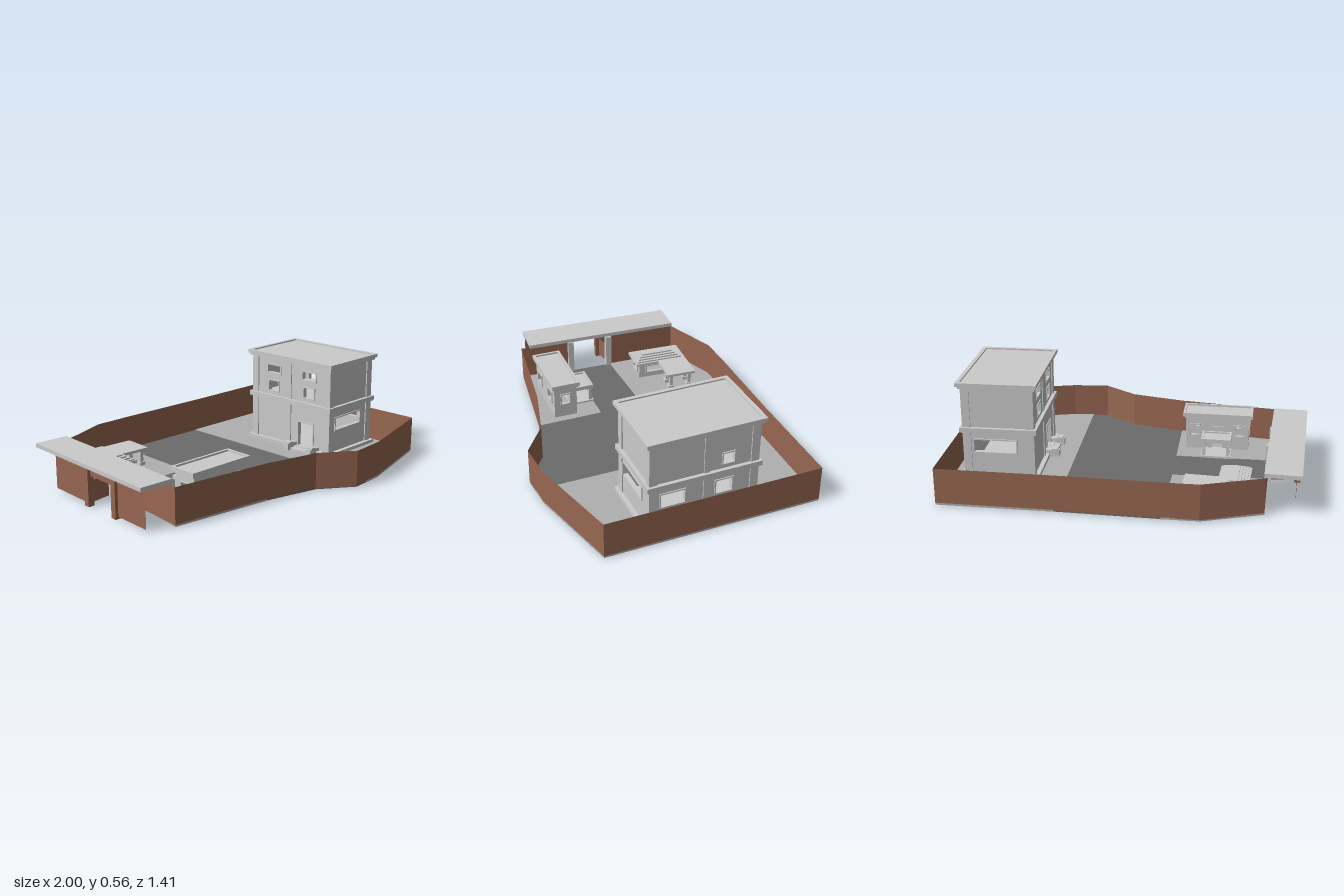
import * as THREE from 'three';

const mat = (color) => new THREE.MeshStandardMaterial({ color, flatShading: true, side: THREE.DoubleSide });
const GREY = mat(0xcccccc), PAD = mat(0xb0b0b0), ROAD = mat(0x6b6b6b), BRICK = mat(0x986752);

function add(parent, name, geometry, material = GREY) {
  const mesh = new THREE.Mesh(geometry, material);
  mesh.name = name;
  parent.add(mesh);
  return mesh;
}

// Box centred on (x, z), from height y0 to y1
function block(parent, name, x, z, w, d, y0, y1, material) {
  const m = add(parent, name, new THREE.BoxGeometry(w, y1 - y0, d), material);
  m.position.set(x, (y0 + y1) / 2, z);
  return m;
}

// Flat slab from an outline of [x, z] points
function slab(parent, name, pts, y0, y1, material, holes = []) {
  const toPts = (list) => list.map(([x, z]) => new THREE.Vector2(x, -z));
  const shape = new THREE.Shape(toPts(pts));
  for (const h of holes) shape.holes.push(new THREE.Path(toPts(h)));
  const g = new THREE.ExtrudeGeometry(shape, { depth: y1 - y0, bevelEnabled: false });
  g.rotateX(-Math.PI / 2).translate(0, y0, 0);
  return add(parent, name, g, material);
}

const rect = (w, d) => [[-w / 2, -d / 2], [w / 2, -d / 2], [w / 2, d / 2], [-w / 2, d / 2]];

// Raised rim around a flat roof
function rim(parent, name, w, d, t, y0, y1) {
  return slab(parent, name, rect(w, d), y0, y1, GREY, [rect(w - 2 * t, d - 2 * t)]);
}

// Thin upright sheet between two ground points
function sheet(parent, name, [x0, z0], [x1, z1], y0 = 0.012, y1 = 0.21) {
  const m = add(parent, name, new THREE.PlaneGeometry(Math.hypot(x1 - x0, z1 - z0), y1 - y0), BRICK);
  m.position.set((x0 + x1) / 2, (y0 + y1) / 2, (z0 + z1) / 2);
  m.rotation.y = -Math.atan2(z1 - z0, x1 - x0);
}

// House wall with openings [u, width, bottom, top], set out from the centre by dist
function facade(parent, name, width, y0, y1, openings, angle, dist, t = 0.02) {
  const box = (u, w, b, c) => [[u - w / 2, b], [u + w / 2, b], [u + w / 2, c], [u - w / 2, c]].map((p) => new THREE.Vector2(...p));
  const shape = new THREE.Shape(box(0, width, y0, y1));
  const side = new THREE.Group();
  side.name = name;
  for (const [u, w, b, c] of openings) {
    shape.holes.push(new THREE.Path(box(u, w, b, c)));
    // raised surround
    const frame = new THREE.Shape(box(u, w + 0.014, b - 0.007, c + 0.007));
    frame.holes.push(new THREE.Path(box(u, w, b, c)));
    const fg = new THREE.ExtrudeGeometry(frame, { depth: 0.006, bevelEnabled: false });
    add(side, 'openingFrame', fg.translate(0, 0, dist));
  }
  const g = new THREE.ExtrudeGeometry(shape, { depth: t, bevelEnabled: false });
  add(side, 'wall', g.translate(0, 0, dist - t));
  side.rotation.y = angle;
  parent.add(side);
}

function group(parent, name, x, z, angle) {
  const g = new THREE.Group();
  g.name = name;
  g.position.set(x, 0, z);
  g.rotation.y = angle;
  parent.add(g);
  return g;
}

function buildGround(root) {
  slab(root, 'road', [[-0.17, -0.695], [0.38, -0.64], [0.285, 0.7], [0.195, 0.7], [0.02, 0.555], [-0.275, 0.46],
    [-0.245, 0.08], [-0.775, 0.04], [-0.745, -0.21], [-0.225, -0.18]], 0.006, 0.013, ROAD);
  slab(root, 'eastPad', [[0.38, -0.64], [1, -0.59], [0.92, 0.6], [0.4, 0.7], [0.285, 0.7]], 0.005, 0.016, PAD);
  slab(root, 'northWestPad', [[-0.7, -0.62], [-0.37, -0.71], [-0.17, -0.695], [-0.225, -0.18], [-0.745, -0.21]], 0.005, 0.016, PAD);
  slab(root, 'southWestPad', [[-0.245, 0.08], [-0.275, 0.46], [-0.84, 0.34], [-0.775, 0.04]], 0.005, 0.016, PAD);
}

function buildPerimeter(root) {
  const line = [[-0.745, -0.21], [-0.7, -0.62], [-0.37, -0.71], [-0.17, -0.695], [0.38, -0.64], [1, -0.59], [0.92, 0.6],
    [0.4, 0.7], [0.195, 0.7], [0.02, 0.555], [-0.275, 0.46], [-0.84, 0.34], [-0.785, 0.04]];
  for (let i = 0; i + 1 < line.length; i++) sheet(root, 'perimeterWall', line[i], line[i + 1]);
}

function buildGate(root) {
  const gate = group(root, 'gatehouse', 0, 0, 0);
  slab(gate, 'gateRoof', [[-0.88, -0.645], [-0.69, -0.62], [-0.81, 0.295], [-1, 0.27]], 0.213, 0.235);
  sheet(gate, 'outerWall', [-0.97, 0.27], [-0.94, 0.04]);
  sheet(gate, 'outerWall', [-0.908, -0.2], [-0.868, -0.5]);
  sheet(gate, 'outerLintel', [-0.94, 0.04], [-0.908, -0.2], 0.165);
  sheet(gate, 'passageWall', [-0.908, -0.2], [-0.745, -0.21], 0.012, 0.13);
  for (const [x, z] of [[-0.938, 0.03], [-0.908, -0.2]])
    block(gate, 'outerPillar', x, z, 0.035, 0.035, 0, 0.213, BRICK).rotation.y = -0.13;
  for (const [x, z] of [[-0.785, 0.04], [-0.748, -0.2]])
    block(gate, 'innerPillar', x, z, 0.035, 0.035, 0.006, 0.213).rotation.y = -0.13;
}

function buildHouse(root) {
  const h = group(root, 'mainHouse', 0.696, 0.026, -0.06);
  const W = 0.38, D = 0.585, top = 0.53, q = Math.PI / 2;
  block(h, 'plinth', 0, 0, W + 0.05, D + 0.05, 0.012, 0.035);
  const band = [[-0.02, 0.23, 0.165, 0.235]];
  facade(h, 'southWall', W, 0.013, top, band, 0, D / 2);
  facade(h, 'northWall', W, 0.013, top, band, 2 * q, D / 2);
  facade(h, 'eastWall', D, 0.013, top, [[-0.17, 0.13, 0.165, 0.24], [0.11, 0.09, 0.165, 0.24], [0.13, 0.062, 0.335, 0.395]], q, W / 2);
  facade(h, 'westWall', D, 0.013, top, [[-0.13, 0.075, 0.335, 0.395], [0.14, 0.075, 0.335, 0.395],
    [-0.13, 0.095, 0.445, 0.49], [0.14, 0.095, 0.445, 0.49], [0.12, 0.11, 0.036, 0.18]], -q, W / 2);
  // corner and middle pilasters
  for (const sx of [-1, 1]) {
    for (const sz of [-1, 1]) block(h, 'cornerPilaster', sx * (W / 2 - 0.016), sz * (D / 2 - 0.016), 0.045, 0.045, 0.013, top);
    block(h, 'middlePilaster', sx * (W / 2 - 0.005), -0.01, 0.022, 0.03, 0.013, top);
  }
  rim(h, 'floorBand', W + 0.04, D + 0.04, 0.035, 0.28, 0.308);
  block(h, 'upperFloor', 0, 0, W - 0.04, D - 0.04, 0.285, 0.3);
  block(h, 'lowerCornice', 0, 0, W + 0.035, D + 0.035, top, 0.547);
  block(h, 'roofSlab', 0, 0, 0.43, 0.634, 0.545, 0.557);
  rim(h, 'roofRim', 0.437, 0.64, 0.022, 0.545, 0.565);
  // entrance blocks
  for (const z of [0.035, 0.205]) {
    block(h, 'entranceBlock', -W / 2 - 0.04, z, 0.08, 0.035, 0.012, 0.055);
    block(h, 'entranceCap', -W / 2 - 0.055, z, 0.035, 0.045, 0.055, 0.065);
  }
  block(h, 'doorStep', -W / 2 - 0.03, 0.12, 0.06, 0.13, 0.012, 0.03);
}

function buildOffice(root) {
  const o = group(root, 'smallOffice', -0.486, 0.26, -0.09);
  const W = 0.36, D = 0.135, q = Math.PI / 2;
  facade(o, 'southWall', W, 0.013, 0.205, [[-0.1, 0.07, 0.1, 0.16], [0.1, 0.07, 0.1, 0.16]], 0, D / 2, 0.012);
  facade(o, 'northWall', W, 0.013, 0.205, [[-0.13, 0.05, 0.1, 0.16], [0, 0.06, 0.022, 0.15], [0.13, 0.05, 0.1, 0.16]], 2 * q, D / 2, 0.012);
  for (const s of [-1, 1]) facade(o, 'endWall', D, 0.013, 0.205, [[0, 0.05, 0.1, 0.16]], s * q, W / 2, 0.012);
  block(o, 'cornice', 0, 0, 0.38, 0.15, 0.2, 0.215);
  block(o, 'roofSlab', 0, 0, 0.39, 0.16, 0.212, 0.225);
  rim(o, 'roofRim', 0.4, 0.166, 0.014, 0.212, 0.235);
  // porch
  block(o, 'porchRoof', 0, -0.14, 0.17, 0.125, 0.105, 0.12);
  rim(o, 'porchRim', 0.17, 0.125, 0.012, 0.12, 0.128).position.z = -0.14;
  block(o, 'porchFloor', 0, -0.14, 0.17, 0.125, 0.013, 0.025);
  for (const s of [-1, 1]) block(o, 'porchPost', s * 0.068, -0.185, 0.018, 0.018, 0.013, 0.105);
}

function buildKiosk(root) {
  const k = group(root, 'kiosk', -0.61, -0.61, -0.14);
  slab(k, 'kioskRoof', [[0, 0], [0.343, 0], [0.343, 0.175], [0.165, 0.175], [0.165, 0.315], [0, 0.315]], 0.105, 0.12);
  // stepped roof over the wing
  for (let i = 0; i < 4; i++)
    block(k, 'roofStep', 0.083, 0.165, 0.14 - i * 0.03, 0.285 - i * 0.03, 0.12 + i * 0.008, 0.128 + i * 0.008);
  // walled wing under the steps
  const wing = group(k, 'kioskWing', 0.083, 0.165, 0);
  const q = Math.PI / 2;
  for (const s of [0, 2]) facade(wing, 'endWall', 0.13, 0.013, 0.106, [[0, 0.07, 0.05, 0.09]], s * q, 0.128, 0.012);
  for (const s of [-1, 1]) facade(wing, 'sideWall', 0.256, 0.013, 0.106, [[0, 0.16, 0.05, 0.09]], s * q, 0.065, 0.012);
  // columns under the open side
  for (const [x, z] of [[0.315, 0.03], [0.315, 0.145], [0.24, 0.03], [0.24, 0.145]]) {
    block(k, 'column', x, z, 0.02, 0.02, 0.013, 0.106);
    block(k, 'columnBase', x, z, 0.035, 0.035, 0.013, 0.035);
  }
}

export function createModel() {
  const root = new THREE.Group();
  root.name = 'walledCompound';
  buildGround(root);
  buildPerimeter(root);
  buildGate(root);
  buildHouse(root);
  buildOffice(root);
  buildKiosk(root);
  return root;
}
